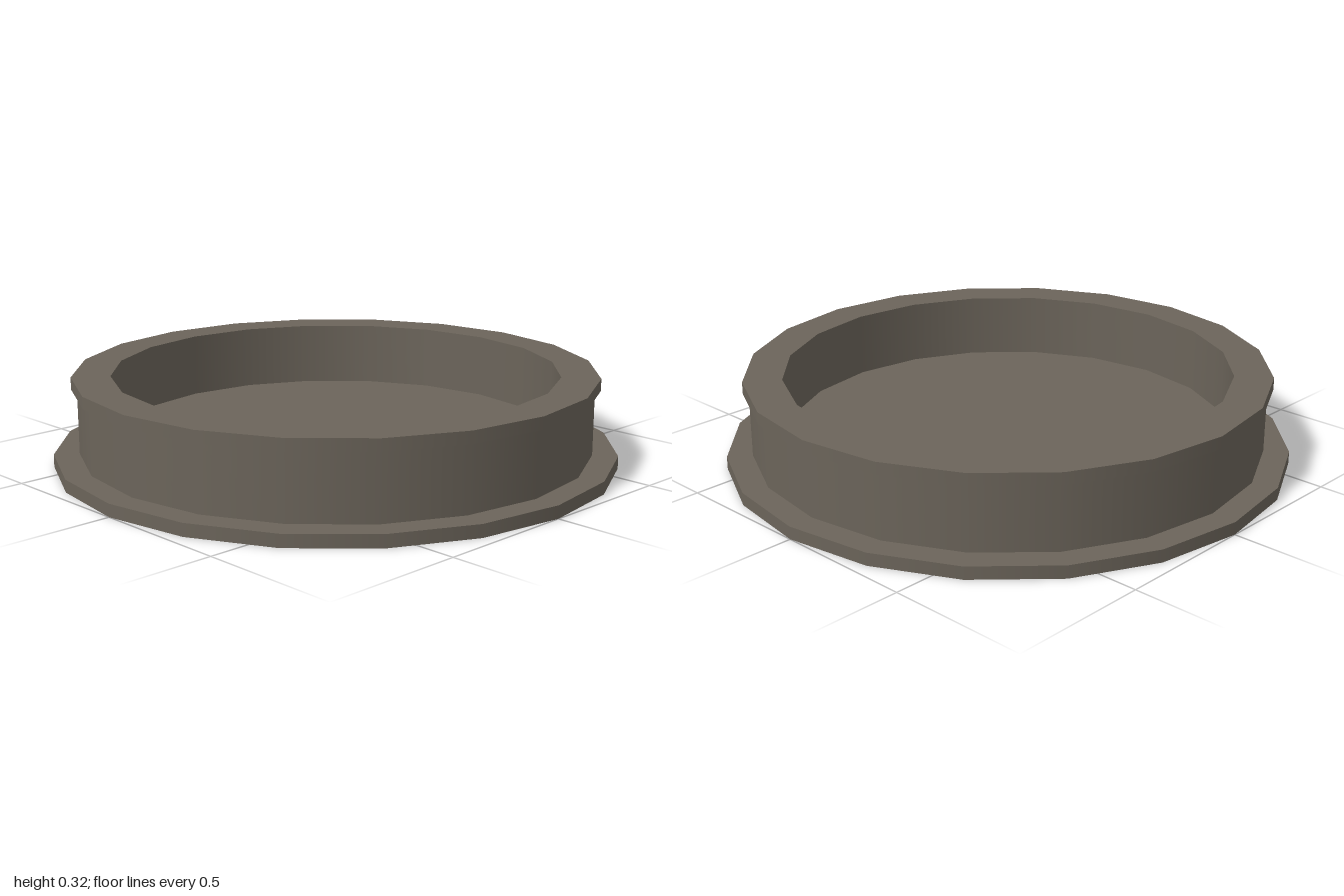
import * as THREE from 'three';

const SIDES = 20;

export function createModel() {
  const model = new THREE.Group();
  model.name = 'roundTray';
  const stone = new THREE.MeshStandardMaterial({ color: 0x6b645a, side: THREE.DoubleSide });
  stone.name = 'warm grey';

  // One ring of the shell between two [radius, height] points: smooth around, crisp at its borders
  const addBand = (name, from, to) => {
    const points = [new THREE.Vector2(...from), new THREE.Vector2(...to)];
    const band = new THREE.Mesh(new THREE.LatheGeometry(points, SIDES), stone);
    band.name = name;
    model.add(band);
  };

  // Open-bottomed shell, from the foot up, over the rim and down to the floor
  const profile = [[1, 0], [1, 0.045], [0.91, 0.045], [0.91, 0.277], [0.93, 0.277],
    [0.93, 0.32], [0.793, 0.32], [0.793, 0.09], [0, 0.09]];
  const names = ['footSkirt', 'footLedge', 'outerWall', 'rimUnderside',
    'rimEdge', 'rimTop', 'innerWall', 'floor'];
  names.forEach((name, i) => addBand(name, profile[i], profile[i + 1]));

  return model;
}
